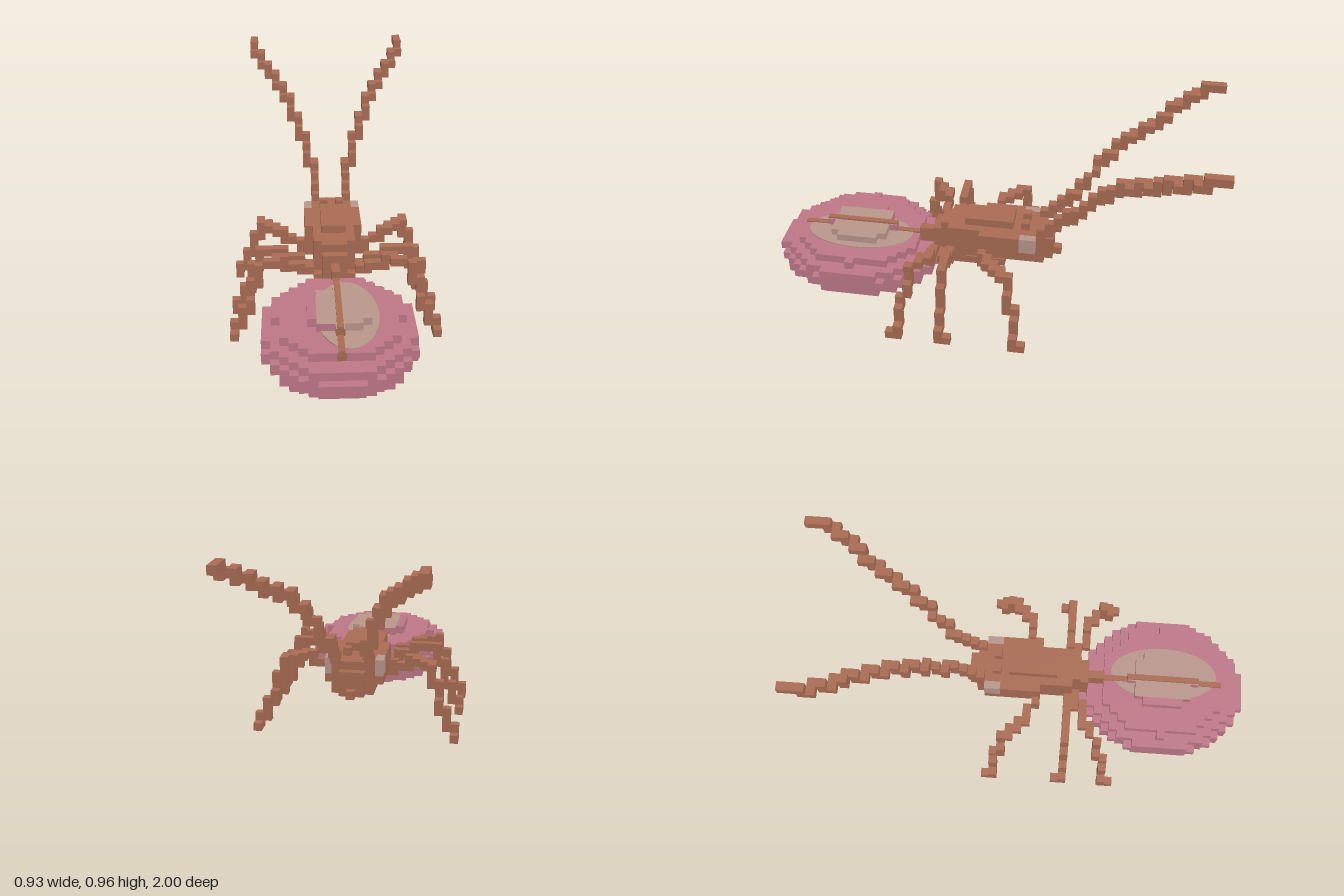
import * as THREE from 'three';

const V = 1 / 27; // edge of one cube
const DIRS = [[1, 0, 0], [-1, 0, 0], [0, 1, 0], [0, -1, 0], [0, 0, 1], [0, 0, -1]];
const BROWN = 0, PINK = 1, GREY = 2;

// Cell coordinates: i across (0 in the middle), j up from the ground, k from back to front
const key = (i, j, k) => `${i},${j},${k}`;

export function createModel() {
  const model = new THREE.Group();
  model.name = 'insect';
  const material = (name, color) => {
    const m = new THREE.MeshStandardMaterial({ color });
    m.name = name;
    return m;
  };
  const materials = [
    material('brown shell', 0xa86b53),
    material('pink abdomen', 0xbd7787),
    material('pale grey', 0xb8958b),
  ];

  const taken = new Set();
  const parts = [];
  // Each cell belongs to the first part that claims it
  function part(name, colorOf, build) {
    const cells = [];
    build((i, j, k) => {
      const id = key(i, j, k);
      if (taken.has(id)) return;
      taken.add(id);
      cells.push([i, j, k]);
    });
    parts.push({ name, cells, colorOf });
  }
  // Symmetric block: half width, then ranges of j and k
  const block = (put, half, j0, j1, k0, k1) => {
    for (let i = -half; i <= half; i++)
      for (let j = j0; j <= j1; j++)
        for (let k = k0; k <= k1; k++) put(i, j, k);
  };
  // Row of cells along a polyline
  const line = (put, side, points) => {
    for (let n = 0; n + 1 < points.length; n++) {
      const a = points[n], b = points[n + 1];
      const steps = Math.max(...a.map((v, c) => Math.abs(b[c] - v))) * 2;
      for (let s = 0; s <= steps; s++) {
        const p = a.map((v, c) => Math.round(v + (b[c] - v) * s / steps));
        put(side * p[0], p[1], p[2]);
      }
    }
  };
  const brown = () => BROWN;

  part('eyes', () => GREY, put => {
    for (const i of [-3, 3])
      for (const j of [8, 9]) for (const k of [21, 22]) put(i, j, k);
  });
  part('head', brown, put => {
    block(put, 0, 6, 6, 18, 18);
    block(put, 1, 6, 8, 19, 19);
    block(put, 2, 6, 9, 20, 20);
    block(put, 3, 7, 9, 21, 23);
    block(put, 2, 6, 6, 21, 23);
    for (const i of [-1, 1]) put(i, 10, 22);
  });
  part('thorax', brown, put => {
    block(put, 3, 7, 9, 24, 27);
    block(put, 2, 7, 9, 28, 31);
    block(put, 1, 10, 10, 24, 29);
    block(put, 2, 6, 6, 24, 31);
    block(put, 1, 4, 4, 25, 31);
    block(put, 1, 5, 5, 30, 31);
  });
  part('waist', brown, put => {
    block(put, 1, 4, 9, 32, 32);
    block(put, 1, 5, 8, 33, 33);
    block(put, 0, 6, 7, 34, 35);
  });

  // Flattened round abdomen, with a pale cap and a brown mark on its front steps
  const abdomenColor = (i, j, k, d) => {
    if (d[2] === 1 && i === 0 && j >= 6) return BROWN;
    if (j === 7 && (i > 0 || (d[1] === 1 && i > -3))) return GREY;
    return PINK;
  };
  part('abdomen', abdomenColor, put => {
    for (let j = 1; j <= 7; j++)
      for (let i = -8; i <= 8; i++)
        for (let k = 33; k <= 53; k++) {
          const r = (i / 9.01) ** 2 + ((j - 3.85) / 3.42) ** 2 + ((k - 43) / 10.28) ** 2;
          if (r <= 1) put(i, j, k);
        }
  });

  // Legs: k at the root, hip, knee and foot
  const legs = {
    frontLeg: [27, 26, 23, 21],
    middleLeg: [31, 31, 31, 30],
    rearLeg: [32, 33, 35, 37],
  };
  for (const [side, label] of [[1, 'Left'], [-1, 'Right']]) {
    for (const [name, [root, hip, knee, foot]] of Object.entries(legs)) {
      const shin = Math.round((knee + foot) / 2);
      part(name + label, brown, put => line(put, side, [
        [2, 5, root], [3, 6, root], [5, 7, hip], [6, 7, hip], [6, 8, hip], [9, 8, knee],
        [9, 6, knee], [10, 5, knee], [10, 3, shin], [11, 3, shin], [11, 1, shin],
        [12, 1, shin], [12, 0, shin], [12, 0, foot],
      ]));
    }
    part('antenna' + label, brown, put => line(put, side, [
      [2, 9, 20], [2, 11, 18], [2, 13, 16], [3, 13, 16], [3, 16, 14], [4, 16, 14], [4, 18, 12],
      [5, 18, 12], [5, 20, 10], [6, 20, 9], [6, 21, 8], [7, 21, 7], [7, 22, 6], [8, 22, 6],
      [8, 23, 5], [9, 23, 4], [9, 24, 3], [10, 24, 2], [10, 25, 1], [10, 25, 0],
    ]));
  }

  // Turn cells into the visible cube faces, grouped by colour
  for (const { name, cells, colorOf } of parts) {
    const faces = [[], [], []];
    for (const [i, j, k] of cells)
      for (const d of DIRS) {
        if (taken.has(key(i + d[0], j + d[1], k + d[2]))) continue;
        const n = new THREE.Vector3(...d);
        const u = new THREE.Vector3(d[1], d[2], d[0]);
        const w = n.clone().cross(u);
        const c = new THREE.Vector3(i, j + 0.5, k + 0.5 - 27).addScaledVector(n, 0.5);
        const q = [[-1, -1], [1, -1], [1, 1], [-1, 1]].map(([a, b]) =>
          c.clone().addScaledVector(u, a / 2).addScaledVector(w, b / 2).multiplyScalar(V));
        faces[colorOf(i, j, k, d)].push(q[0], q[1], q[2], q[0], q[2], q[3]);
      }
    const geometry = new THREE.BufferGeometry().setFromPoints(faces.flat());
    let start = 0;
    faces.forEach((f, m) => {
      if (f.length) geometry.addGroup(start, f.length, m);
      start += f.length;
    });
    geometry.computeVertexNormals();
    const mesh = new THREE.Mesh(geometry, materials);
    mesh.name = name;
    model.add(mesh);
  }

  // Pale patch lying on the step below the cap
  const patch = new THREE.Mesh(new THREE.CylinderGeometry(1, 1, 0.004, 28), materials[GREY]);
  patch.scale.set(0.13, 1, 0.25);
  patch.position.set(0.035, 7 * V + 0.002, 0.615);
  patch.name = 'abdomenPatch';
  model.add(patch);

  // Brown stripe along the back of the abdomen: level, start and end
  for (const [level, z0, z1] of [[8, 0.444, 0.778], [7, 0.333, 0.444], [7, 0.778, 0.889]]) {
    const stripe = new THREE.Mesh(new THREE.BoxGeometry(0.026, 0.008, z1 - z0), materials[BROWN]);
    stripe.position.set(0, level * V + 0.004, (z0 + z1) / 2);
    stripe.name = 'abdomenStripe';
    model.add(stripe);
  }
  return model;
}
